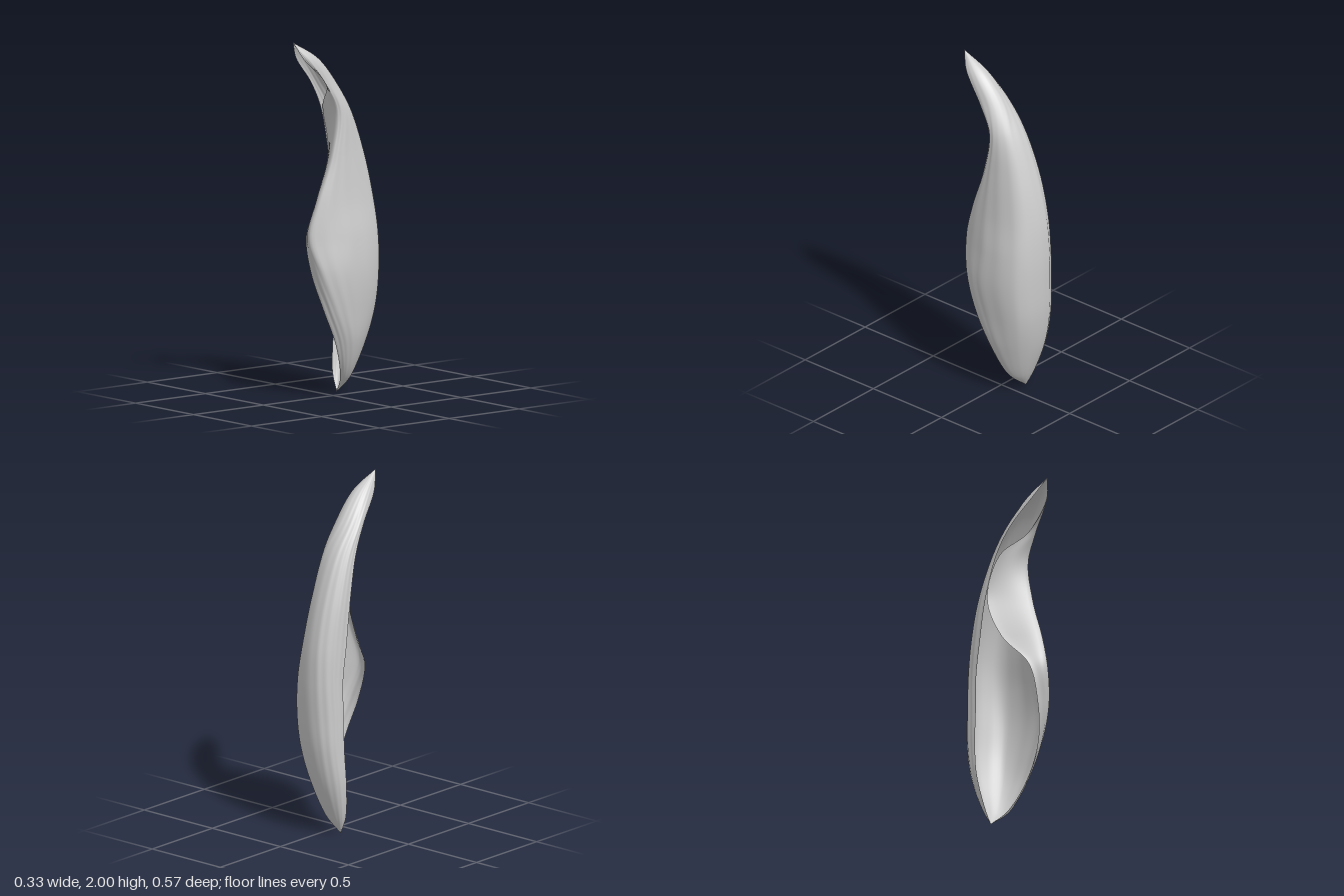
import * as THREE from 'three';

// Cross-sections of the rolled husk: height, then seven (x, z) points running
// from the free edge round the back and side to the front fold and tucked edge.
const SECTIONS = [
  [0.1, -0.132, -0.105, -0.125, -0.135, -0.085, -0.152, -0.02, -0.142, 0.022, -0.1, 0.02, -0.065, 0, -0.05],
  [0.3, -0.164, -0.135, -0.153, -0.19, -0.08, -0.228, 0.06, -0.185, 0.115, -0.07, 0.1, 0, 0.068, 0.04],
  [0.5, -0.163, -0.15, -0.152, -0.225, -0.07, -0.268, 0.105, -0.215, 0.15, -0.02, 0.12, 0.09, 0.065, 0.125],
  [0.7, -0.157, -0.15, -0.148, -0.23, -0.06, -0.282, 0.125, -0.222, 0.162, 0.02, 0.1, 0.165, 0.015, 0.17],
  [0.9, -0.152, -0.15, -0.142, -0.23, -0.06, -0.284, 0.115, -0.225, 0.15, 0, 0.05, 0.207, -0.04, 0.16],
  [1.1, -0.15, -0.12, -0.14, -0.21, -0.06, -0.267, 0.09, -0.21, 0.122, 0, 0.06, 0.155, -0.11, 0.01],
  [1.35, -0.143, -0.08, -0.135, -0.155, -0.06, -0.207, 0.065, -0.165, 0.101, -0.01, 0.072, 0.066, -0.138, -0.078],
  [1.6, -0.123, -0.01, -0.115, -0.06, -0.06, -0.107, 0.04, -0.09, 0.086, -0.02, 0.072, 0.028, -0.105, -0.012],
  [1.75, -0.1, 0.08, -0.1, 0.04, -0.06, 0, 0, -0.015, 0.058, 0.03, 0.064, 0.1, 0.03, 0.075],
  [1.9, -0.055, 0.22, -0.058, 0.17, -0.04, 0.13, 0, 0.115, 0.04, 0.15, 0.045, 0.21, 0.03, 0.23],
];
const BASE = new THREE.Vector3(-0.09, 0, -0.1);
const TIP = new THREE.Vector3(-0.01, 2, 0.28);
const AROUND = 60, ALONG = 110;

// Smooth the sections round, then smooth each lengthwise fibre from base to tip
function huskGeometry() {
  const rings = SECTIONS.map(([y, ...p]) => {
    const points = [];
    for (let i = 0; i < p.length; i += 2) points.push(new THREE.Vector3(p[i], y, p[i + 1]));
    return new THREE.CatmullRomCurve3(points).getPoints(AROUND);
  });
  const positions = [], indices = [];
  for (let i = 0; i <= AROUND; i++) {
    const fibre = new THREE.CatmullRomCurve3([BASE, ...rings.map((r) => r[i]), TIP]);
    for (let j = 0; j <= ALONG; j++) {
      const t = j / ALONG, p = fibre.getPoint(t);
      // Shallow lengthwise ribs that fade out at both ends
      const rib = 0.0015 * Math.sin(i * 1.3 + Math.sin(t * 7) * 1.5) * Math.sin(Math.PI * t);
      positions.push(p.x + rib, p.y, p.z + rib);
    }
  }
  const row = ALONG + 1;
  for (let i = 0; i < AROUND; i++) {
    for (let j = 0; j < ALONG; j++) {
      const a = i * row + j, b = a + row;
      indices.push(a, a + 1, b, b, a + 1, b + 1);
    }
  }
  const geometry = new THREE.BufferGeometry();
  geometry.setAttribute('position', new THREE.Float32BufferAttribute(positions, 3));
  geometry.setIndex(indices);
  geometry.computeVertexNormals();
  return geometry;
}

export function createModel() {
  const group = new THREE.Group();
  group.name = 'driedHusk';
  const material = new THREE.MeshStandardMaterial({ color: 0xcccccc, side: THREE.DoubleSide });
  const husk = new THREE.Mesh(huskGeometry(), material);
  husk.name = 'rolledHuskLeaf';
  group.add(husk);
  return group;
}
